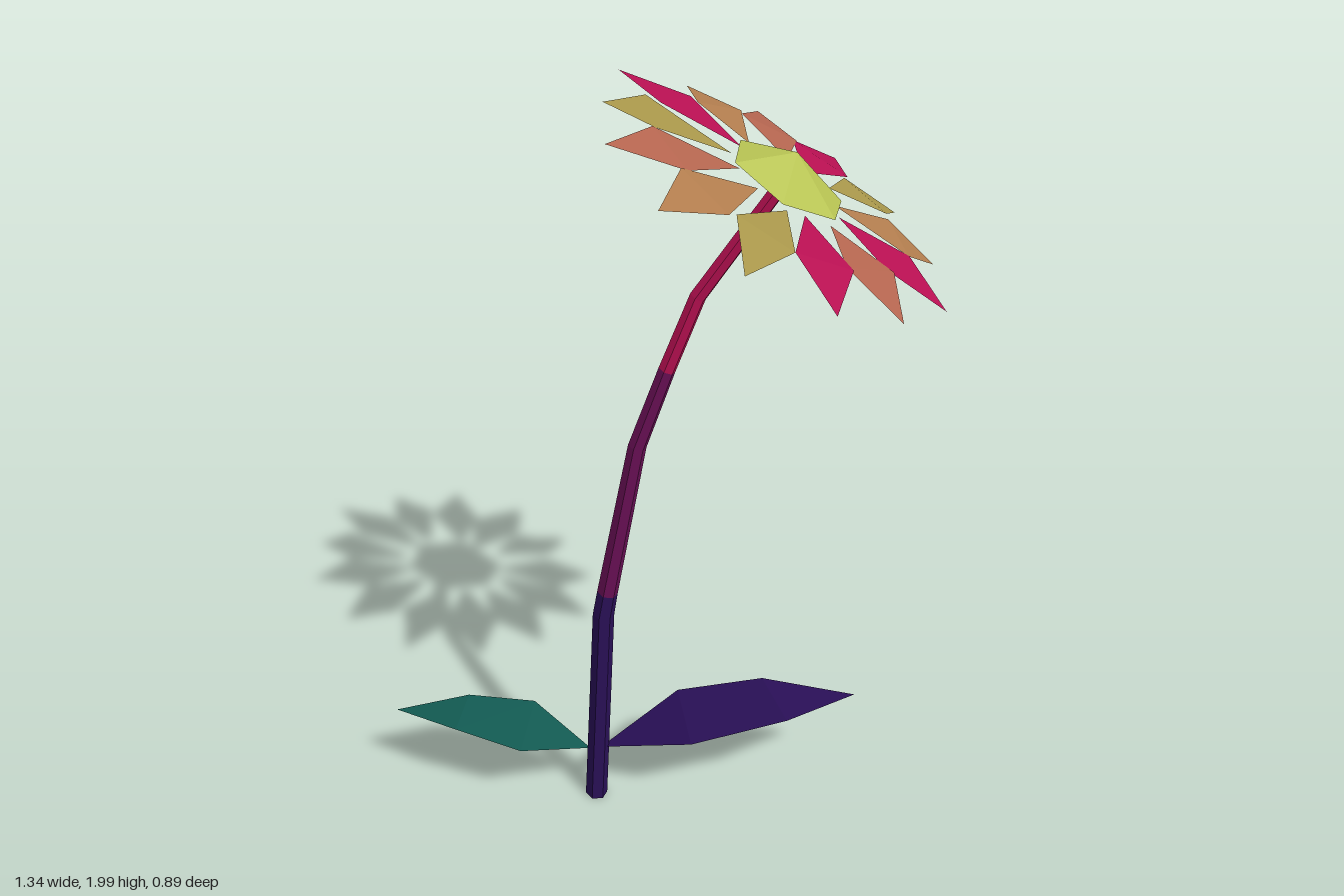
import * as THREE from 'three';

const mat = (name, color, side = THREE.FrontSide) => {
  const m = new THREE.MeshStandardMaterial({ color, side });
  m.name = name;
  return m;
};

// Flat-shaded mesh from a list of triangles, each three [x, y, z] corners
function facetMesh(name, triangles, material) {
  const g = new THREE.BufferGeometry();
  g.setAttribute('position', new THREE.Float32BufferAttribute(triangles.flat(2), 3));
  g.computeVertexNormals();
  const mesh = new THREE.Mesh(g, material);
  mesh.name = name;
  return mesh;
}

// Plane of the tilted flower head, raised by lift
const headPoint = (x, z, lift = 0) => [x, 1.78 - 0.53 * (x - 0.29) + 0.13 * z + lift, z];

// Ring of points around the stem, square to its direction
function ring([x, y, z, r], dir, sides) {
  const q = new THREE.Quaternion().setFromUnitVectors(new THREE.Vector3(0, 1, 0), dir);
  return Array.from({ length: sides }, (_, i) => {
    const a = (i / sides) * Math.PI * 2;
    return new THREE.Vector3(Math.sin(a) * r, 0, Math.cos(a) * r)
      .applyQuaternion(q).add(new THREE.Vector3(x, y, z)).toArray();
  });
}

export function createModel() {
  const D = THREE.DoubleSide;
  const navy = mat('navy', 0x2a1058, D);
  const purple = mat('purple', 0x6a1056);
  const crimson = mat('crimson', 0xb81052, D);
  const terracotta = mat('terracotta', 0xb4654f, D);
  const tan = mat('tan', 0xb27d4e, D);
  const olive = mat('olive', 0xa8964a, D);
  const lime = mat('lime', 0xb8c453);
  const teal = mat('teal', 0x125a52, D);
  const model = new THREE.Group();
  model.name = 'flower';

  // Stem: x, y, z, radius; the colour changes part way up
  const path = [
    [-0.14, 0.002, 0.105, 0.03], [-0.108, 0.63, 0.1, 0.028], [-0.097, 0.7, 0.097, 0.027],
    [-0.02, 1.14, 0.075, 0.023], [0.048, 1.35, 0.054, 0.021], [0.115, 1.54, 0.035, 0.02],
    [0.285, 1.81, 0, 0.018],
  ];
  const sides = 6;
  const rings = path.map((p, i) => {
    const a = path[Math.max(i - 1, 0)], b = path[Math.min(i + 1, path.length - 1)];
    const d = new THREE.Vector3(b[0] - a[0], b[1] - a[1], b[2] - a[2]).normalize();
    return ring(p, d, sides);
  });
  [['lowerStem', 0, 2, navy], ['middleStem', 2, 4, purple], ['upperStem', 4, 6, crimson]]
    .forEach(([name, from, to, material]) => {
      const tris = [];
      for (let k = from; k < to; k++) {
        for (let i = 0; i < sides; i++) {
          const j = (i + 1) % sides, a = rings[k], b = rings[k + 1];
          tris.push([a[i], a[j], b[j]], [a[i], b[j], b[i]]);
        }
      }
      // Base cap
      if (from === 0) for (let i = 1; i < sides - 1; i++) tris.push([rings[0][0], rings[0][i + 1], rings[0][i]]);
      model.add(facetMesh(name, tris, material));
    });

  // Leaves: base, two cross pairs (back and front edge), tip
  const leaf = (name, [base, b1, f1, b2, f2, tip], material, flip) => {
    const tris = [[base, f1, b1], [b1, f1, f2], [b1, f2, b2], [b2, f2, tip]];
    model.add(facetMesh(name, flip ? tris.map(([a, b, c]) => [a, c, b]) : tris, material));
  };
  leaf('leftLeaf', [[-0.125, 0.17, 0.1], [0.02, 0.26, -0.105], [0.14, 0.267, 0.1],
    [0.24, 0.31, -0.185], [0.36, 0.31, -0.04], [0.495, 0.305, -0.22]], navy, false);
  leaf('rightLeaf', [[-0.15, 0.17, 0.115], [-0.345, 0.232, 0.06], [-0.29, 0.228, 0.257],
    [-0.51, 0.26, 0.135], [-0.474, 0.26, 0.278], [-0.67, 0.25, 0.256]], teal, true);

  // Petals, clockwise from the back: tip, side, side, root as x, z pairs on the head plane
  const petals = [
    [crimson, 0.28, -0.45, 0.22, -0.292, 0.355, -0.296, 0.298, -0.135],
    [olive, 0.456, -0.368, 0.352, -0.278, 0.467, -0.239, 0.355, -0.142],
    [tan, 0.589, -0.221, 0.478, -0.214, 0.56, -0.088, 0.391, -0.07],
    [crimson, 0.668, -0.02, 0.56, -0.092, 0.546, 0.059, 0.413, -0.023],
    [terracotta, 0.621, 0.181, 0.56, 0.045, 0.492, 0.178, 0.416, 0.048],
    [crimson, 0.524, 0.346, 0.505, 0.17, 0.409, 0.27, 0.37, 0.085],
    [olive, 0.363, 0.443, 0.409, 0.271, 0.287, 0.282, 0.341, 0.12],
    [tan, 0.176, 0.422, 0.28, 0.307, 0.154, 0.246, 0.273, 0.11],
    [terracotta, 0.011, 0.3, 0.165, 0.239, 0.05, 0.145, 0.219, 0.075],
    [olive, -0.075, 0.117, 0.057, 0.142, -0.02, 0.015, 0.183, 0.027],
    [crimson, -0.133, -0.099, 0.011, 0.002, 0.025, -0.142, 0.183, -0.041],
    [tan, -0.036, -0.271, 0.043, -0.135, 0.104, -0.257, 0.183, -0.088],
    [terracotta, 0.093, -0.411, 0.111, -0.242, 0.226, -0.303, 0.255, -0.142],
  ];
  const petalGroup = new THREE.Group();
  petalGroup.name = 'petals';
  petals.forEach(([material, tx, tz, ax, az, bx, bz, rx, rz], i) => {
    const tip = headPoint(tx, tz), a = headPoint(ax, az, 0.035);
    const b = headPoint(bx, bz, 0.035), root = headPoint(rx, rz, 0.042);
    petalGroup.add(facetMesh(`petal${i + 1}`, [[tip, a, b], [root, b, a]], material));
  });
  model.add(petalGroup);

  // Faceted flower centre: a low six-sided cone above and a shallower one below
  const rim = [[0.176, -0.05], [0.266, -0.147], [0.398, -0.095], [0.42, 0.027], [0.334, 0.127], [0.212, 0.085]]
    .map(([x, z]) => headPoint(x, z, 0.052));
  const top = [0.318, 1.89, -0.01], bottom = [0.28, 1.79, 0];
  model.add(facetMesh('flowerCentre', rim.flatMap((p, i) => {
    const q = rim[(i + 1) % rim.length];
    return [[top, q, p], [bottom, p, q]];
  }), lime));

  return model;
}
